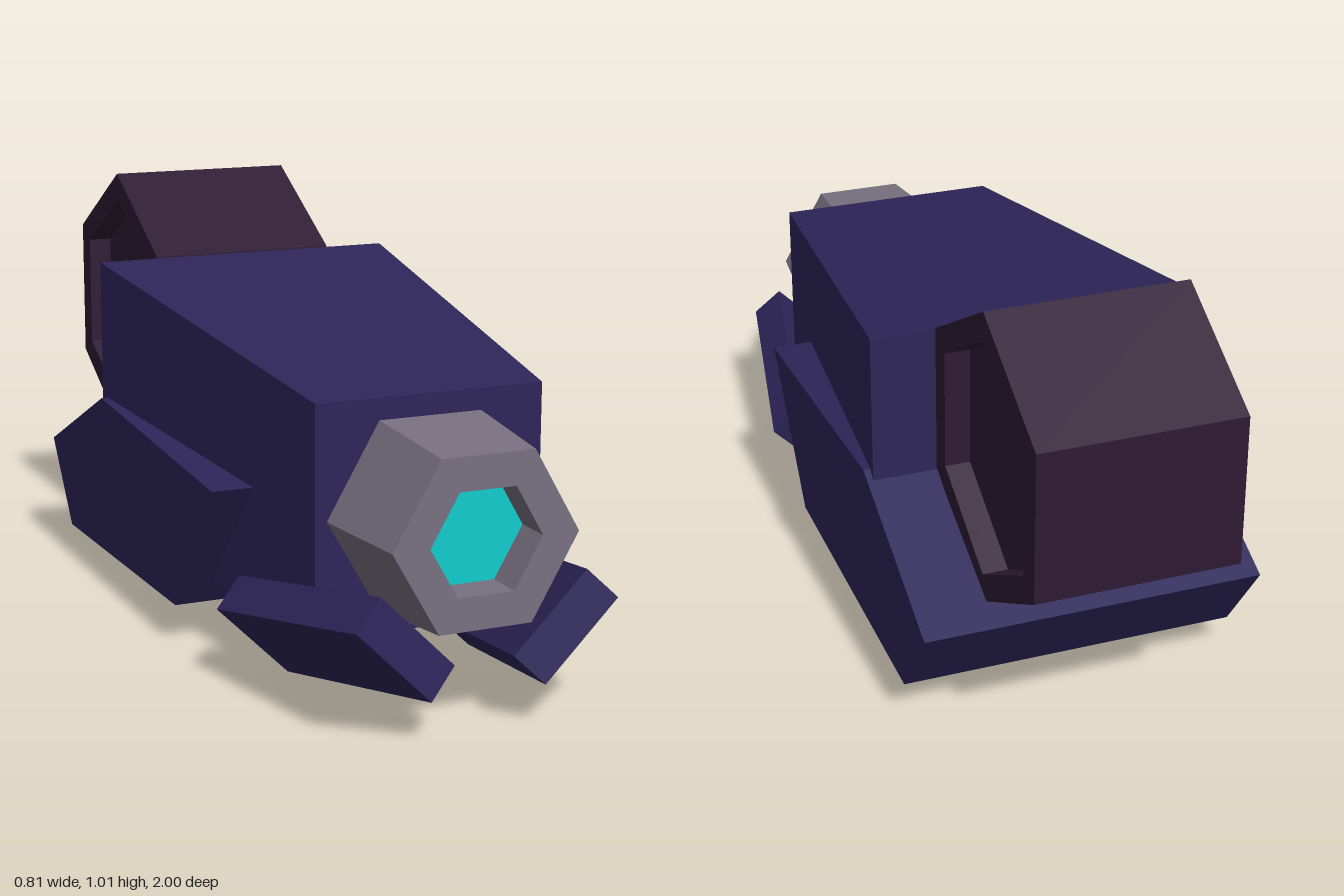
import * as THREE from 'three';

const paint = (color) => new THREE.MeshStandardMaterial({ color, flatShading: true });
const navy = paint(0x2d2559);
const plum = paint(0x2f1b34);
const grey = paint(0x787080);
const cyan = paint(0x10cccc);

function part(group, name, geometry, material) {
  const mesh = new THREE.Mesh(geometry, material);
  mesh.name = name;
  group.add(mesh);
  return mesh;
}

// Six-sided turned solid from [radius, height] pairs, with corners on its local x axis
function hexLathe(profile) {
  const points = profile.map(([r, h]) => new THREE.Vector2(r, h));
  return new THREE.LatheGeometry(points, 6, Math.PI / 6);
}

export function createModel() {
  const model = new THREE.Group();
  model.name = 'model';

  // Main hull: a box that grows wider and taller toward the back
  const hull = new THREE.BoxGeometry(2, 1, 2);
  const pos = hull.attributes.position;
  for (let i = 0; i < pos.count; i++) {
    const front = pos.getZ(i) > 0;
    const top = pos.getY(i) > 0;
    pos.setXYZ(
      i,
      pos.getX(i) * (front ? 0.275 : 0.39),
      top ? (front ? 0.693 : 0.837) : 0.16,
      front ? 0.71 : -0.38
    );
  }
  hull.computeVertexNormals();
  part(model, 'hull', hull, navy);

  // Lower hull: side outline as (z, y), extruded across the width
  const halfWidth = 0.404;
  const outline = [[0.43, 0.442], [-0.35, 0.492], [-0.78, 0.29], [-0.63, 0.083], [0.18, 0.1]];
  const lower = new THREE.ExtrudeGeometry(
    new THREE.Shape(outline.map(([z, y]) => new THREE.Vector2(z, y))),
    { depth: 2 * halfWidth, bevelEnabled: false }
  );
  lower.translate(0, 0, -halfWidth).rotateY(-Math.PI / 2);
  part(model, 'lowerHull', lower, navy);

  // Rear drum: hexagonal, lying across, with a recess in each end
  const h = 0.237, recess = 0.06, outer = 0.356, inner = 0.286;
  const drum = hexLathe([
    [0, recess - h], [inner, recess - h], [inner, -h], [outer, -h],
    [outer, h], [inner, h], [inner, h - recess], [0, h - recess],
  ]);
  drum.rotateZ(-Math.PI / 2);
  part(model, 'rearDrum', drum, plum).position.set(0, 0.662, -0.69);

  // Front nozzle: tapered hexagon with a straight bore
  const bore = 0.133, boreFloor = 0.89;
  const nozzle = hexLathe([[0, 0.7], [0.248, 0.7], [0.22, 0.98], [bore, 0.98], [bore, boreFloor - 0.01]]);
  nozzle.rotateX(Math.PI / 2);
  part(model, 'nozzle', nozzle, grey).position.y = 0.429;

  // Lens at the bottom of the bore
  part(model, 'lens', new THREE.CircleGeometry(bore, 6), cyan).position.set(0, 0.429, boreFloor);

  // Pair of slabs under the nose, rolled 45 degrees and converging forward and up
  for (const side of [1, -1]) {
    const along = new THREE.Vector3(-side * 0.098, 0.098, 0.54).normalize();
    const thick = new THREE.Vector3(-side, 1, -0.363).normalize();
    const wide = new THREE.Vector3().crossVectors(thick, along);
    const slab = part(
      model,
      side > 0 ? 'leftNoseSlab' : 'rightNoseSlab',
      new THREE.BoxGeometry(0.245, 0.095, 0.557),
      navy
    );
    slab.quaternion.setFromRotationMatrix(new THREE.Matrix4().makeBasis(wide, thick, along));
    slab.position.set(side * 0.239, 0.172, 0.72);
  }

  return model;
}
